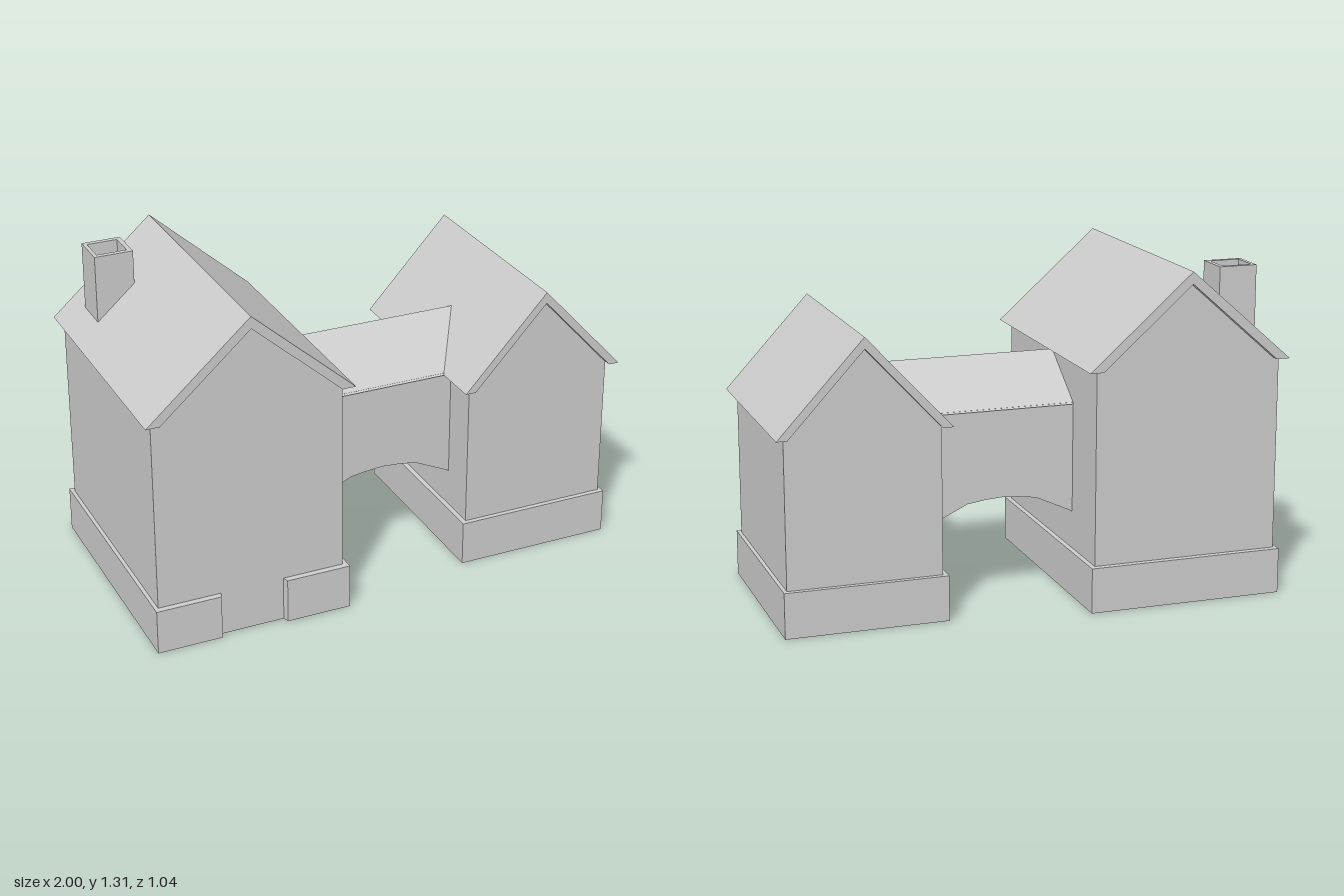
import * as THREE from 'three';

const stone = new THREE.MeshStandardMaterial({ color: 0xcccccc, side: THREE.DoubleSide });
stone.name = 'pale grey';

const outline = (pts) => pts.map(([x, y]) => new THREE.Vector2(x, y));

function addMesh(parent, name, geometry) {
  const mesh = new THREE.Mesh(geometry, stone);
  mesh.name = name;
  parent.add(mesh);
  return mesh;
}

// Profile in x and y, extruded symmetrically along z
function alongZ(pts, halfDepth) {
  const g = new THREE.ExtrudeGeometry(new THREE.Shape(outline(pts)), { depth: 2 * halfDepth, bevelEnabled: false });
  return g.translate(0, 0, -halfDepth);
}

// Plan in x and z, extruded upwards from y0 to y1
function upwards(pts, y0, y1, hole) {
  const flip = (p) => outline(p.map(([x, z]) => [x, -z]));
  const shape = new THREE.Shape(flip(pts));
  if (hole) shape.holes.push(new THREE.Path(flip(hole)));
  const g = new THREE.ExtrudeGeometry(shape, { depth: y1 - y0, bevelEnabled: false });
  return g.rotateX(-Math.PI / 2).translate(0, y0, 0);
}

const rect = (x0, x1, z0, z1) => [[x0, z0], [x1, z0], [x1, z1], [x0, z1]];

// Drop the triangles lying on the ground so that the shell is open below
function openBottom(g) {
  const p = g.toNonIndexed ? (g.index ? g.toNonIndexed() : g).attributes.position : null;
  const kept = [];
  for (let i = 0; i < p.count; i += 3) {
    if ([0, 1, 2].every((k) => p.getY(i + k) < 1e-5)) continue;
    for (let k = 0; k < 3; k++) kept.push(p.getX(i + k), p.getY(i + k), p.getZ(i + k));
  }
  const out = new THREE.BufferGeometry();
  out.setAttribute('position', new THREE.Float32BufferAttribute(kept, 3));
  out.computeVertexNormals();
  return out;
}

function house(name, h) {
  const group = new THREE.Group();
  group.name = name;
  const [x0, x1] = h.wallX, [p0, p1] = h.plinthX, [r0, r1] = h.roofX;
  const mid = (r0 + r1) / 2;

  // Gabled walls
  addMesh(group, 'walls', openBottom(alongZ(
    [[x0, 0], [x1, 0], [x1, h.eave + 0.005], [mid, h.under + 0.01], [x0, h.eave + 0.005]], h.wallZ)));

  // Folded roof slab with level cut eaves
  const inset = (mid - r0) * (1 - (h.under - h.eave) / (h.ridge - h.eave));
  addMesh(group, 'roof', alongZ(
    [[r0, h.eave], [r0 + inset, h.eave], [mid, h.under], [r1 - inset, h.eave], [r1, h.eave], [mid, h.ridge]], h.roofZ));

  // Plinth around the foot, interrupted where there is a doorway
  const w = h.wallZ, p = h.plinthZ;
  const plinth = h.door
    ? upwards([
      [h.door[0], p], [p0, p], [p0, -p], [p1, -p], [p1, p], [h.door[1], p],
      [h.door[1] - 0.007, w], [x1, w], [x1, -w], [x0, -w], [x0, w], [h.door[0] + 0.007, w],
    ], 0, 0.18)
    : upwards(rect(p0, p1, -p, p), 0, 0.18, rect(x0, x1, -w, w));
  addMesh(group, 'plinth', plinth);
  return group;
}

export function createModel() {
  const model = new THREE.Group();
  model.name = 'linkedHouses';

  const tall = house('tallHouse', {
    wallX: [-0.97, -0.22], wallZ: 0.485, plinthX: [-0.985, -0.2], plinthZ: 0.51,
    roofX: [-1, -0.18], roofZ: 0.52, eave: 0.948, ridge: 1.31, under: 1.262, door: [-0.727, -0.459],
  });
  const small = house('smallHouse', {
    wallX: [0.36, 0.965], wallZ: 0.39, plinthX: [0.34, 0.98], plinthZ: 0.41,
    roofX: [0.325, 1], roofZ: 0.43, eave: 0.765, ridge: 1.13, under: 1.085,
  });
  model.add(tall, small);

  // Hollow chimney on the outer slope
  addMesh(tall, 'chimney', upwards(
    rect(-0.91, -0.757, -0.39, -0.24), 1.0, 1.295, rect(-0.895, -0.775, -0.37, -0.26)));

  // Bridge room with an arched underside
  const bridge = new THREE.Group();
  bridge.name = 'bridge';
  addMesh(bridge, 'bridgeWalls', alongZ([
    [-0.22, 0.33], [-0.07, 0.4], [0, 0.41], [0.07, 0.415], [0.14, 0.41], [0.21, 0.4], [0.36, 0.33],
    [0.36, 0.77], [-0.22, 0.77],
  ], 0.236));

  // Bridge roof, its far end mitred into the small roof
  const gable = alongZ([[-0.22, 0], [0.34, 0], [0.34, 1], [-0.22, 1]], 0.244);
  const pos = gable.attributes.position;
  for (let i = 0; i < pos.count; i++) {
    const top = pos.getY(i) > 0.5;
    if (top) pos.setZ(i, 0);
    if (top && pos.getX(i) > 0) pos.setX(i, 0.485);
    pos.setY(i, top ? 0.932 : 0.764);
  }
  gable.computeVertexNormals();
  addMesh(bridge, 'bridgeRoof', gable);
  model.add(bridge);

  return model;
}
